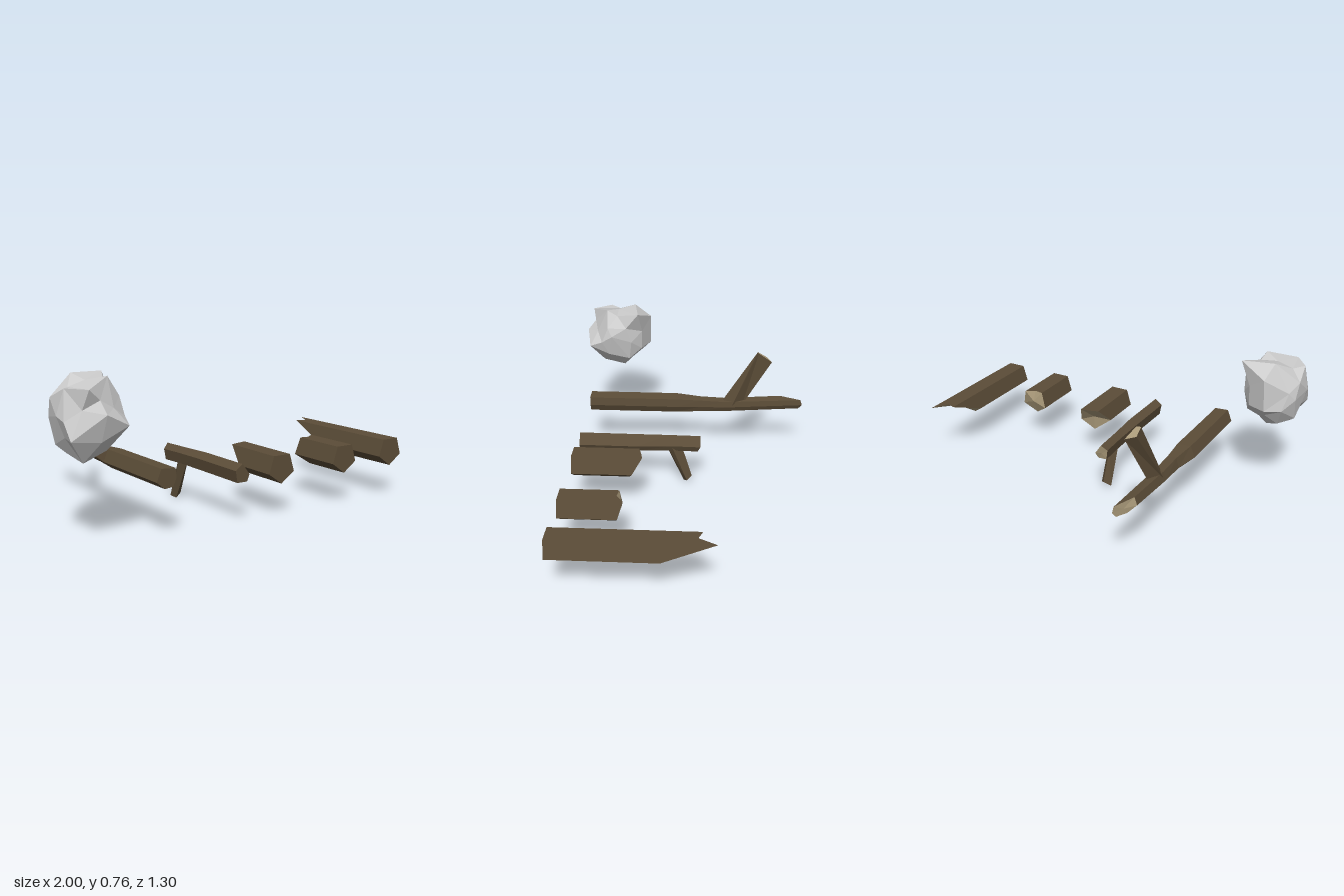
import * as THREE from 'three';

const material = (color) => new THREE.MeshStandardMaterial({ color, flatShading: true });

// Flat-shaded mesh from a list of corner points, three per triangle
function facets(name, points, mat) {
  const geometry = new THREE.BufferGeometry();
  geometry.setAttribute('position', new THREE.Float32BufferAttribute(points.flat(), 3));
  geometry.computeVertexNormals();
  const mesh = new THREE.Mesh(geometry, mat);
  mesh.name = name;
  return mesh;
}

const average = (ring) => [0, 1, 2].map((k) => ring.reduce((s, p) => s + p[k], 0) / ring.length);

// Skin a row of rings with bark, then close the far end with pale split wood
function timber(name, rings, bark, wood, core) {
  const skin = [], split = [];
  const first = rings[0], last = rings[rings.length - 1], n = first.length;
  const start = average(first), end = core || average(last);
  for (let i = 0; i < n; i++) {
    const j = (i + 1) % n;
    skin.push(start, first[i], first[j]);
    for (let r = 0; r + 1 < rings.length; r++) {
      const a = rings[r], b = rings[r + 1];
      skin.push(a[i], b[i], b[j], a[i], b[j], a[j]);
    }
    split.push(end, last[j], last[i]);
  }
  const group = new THREE.Group();
  group.name = name;
  group.add(facets(name + 'Bark', skin, bark), facets(name + 'BrokenEnd', split, wood));
  return group;
}

// Copy of a section outline, shifted and scaled, at one depth or a depth per corner
function section(outline, cx, cy, z, sx = 1, sy = 1) {
  return outline.map(([x, y], i) => [cx + x * sx, cy + y * sy, Array.isArray(z) ? z[i] : z]);
}

// Faceted boulder: a rough ball whose nearest corners are pulled to the main points
function boulder(mat) {
  const centre = new THREE.Vector3(-0.84, 0.58, 0.46);
  const peaks = [
    [-0.69, 0.76, 0.33], [-0.86, 0.765, 0.36], [-0.84, 0.70, 0.265], [-0.76, 0.76, 0.52],
    [-0.97, 0.72, 0.52], [-0.90, 0.72, 0.62], [-1.0, 0.60, 0.50], [-0.98, 0.50, 0.60],
    [-0.83, 0.61, 0.65], [-0.71, 0.55, 0.625], [-0.68, 0.62, 0.49], [-0.72, 0.47, 0.39],
    [-0.82, 0.39, 0.43], [-0.90, 0.39, 0.55], [-0.97, 0.46, 0.42], [-0.85, 0.53, 0.27],
    [-0.95, 0.62, 0.35],
  ].map((p) => new THREE.Vector3(...p));
  let seed = 7;
  const random = () => (seed = (seed * 16807) % 2147483647) / 2147483647;
  const geometry = new THREE.IcosahedronGeometry(1, 1);
  const position = geometry.attributes.position;
  const corners = new Map();
  const v = new THREE.Vector3();
  const key = () => v.toArray().map((c) => Math.round(c * 1000) + 0).join();
  for (let i = 0; i < position.count; i++) {
    v.fromBufferAttribute(position, i);
    if (!corners.has(key())) {
      const r = 0.15 + 0.035 * random();
      corners.set(key(), { dir: v.clone(), at: v.clone().multiplyScalar(r).add(centre), used: false });
    }
  }
  for (const peak of peaks) {
    const dir = peak.clone().sub(centre).normalize();
    let best = null;
    for (const c of corners.values()) {
      if (!c.used && (!best || c.dir.dot(dir) > best.dir.dot(dir))) best = c;
    }
    best.at.copy(peak);
    best.used = true;
  }
  for (let i = 0; i < position.count; i++) {
    v.fromBufferAttribute(position, i);
    const p = corners.get(key()).at;
    position.setXYZ(i, p.x, p.y, p.z);
  }
  geometry.computeVertexNormals();
  const mesh = new THREE.Mesh(geometry, mat);
  mesh.name = 'boulder';
  return mesh;
}

export function createModel() {
  const model = new THREE.Group();
  const bark = material(0x5c4d38), wood = material(0xa89878), stone = material(0xcccccc);

  model.add(boulder(stone));

  // Three five-sided logs; depth of each broken corner, then of the core
  const log = [[0.05, 0.31], [0, 0.31], [-0.05, 0.31], [-0.078, 0.22], [0, 0.165], [0.078, 0.22]];
  const logs = [
    ['shortLog', 0.165, [0.225, 0.235, 0.25, 0.35, 0.30, 0.28], 0.29],
    ['middleLog', 0.585, [0.28, 0.312, 0.305, 0.295, 0.33, 0.305], 0.29],
    ['longLog', 0.918, [-0.19, -0.10, -0.12, 0.10, 0.145, 0.07], 0.05],
  ];
  for (const [name, x, depths, core] of logs) {
    const rings = [section(log, x, 0, 0.6), section(log, x, 0, depths)];
    model.add(timber(name, rings, bark, wood, [x, 0.25, core]));
  }

  // Long branch with a slanted split tip
  const long = [[0.048, 0.042], [-0.028, 0.047], [-0.053, -0.015], [-0.01, -0.05], [0.035, -0.045], [0.053, -0.005]];
  model.add(timber('longBranch', [
    section(long, -0.507, 0.283, 0.6),
    section(long, -0.507, 0.283, 0.09),
    section(long, -0.5, 0.281, -0.05, 0.66, 0.85),
    section(long, -0.5, 0.28, -0.2, 0.66, 0.72),
    section(long, -0.506, 0.303, [-0.64, -0.52, -0.52, -0.57, -0.63, -0.65], 0.6, 0.66),
  ], bark, wood));

  // Rising fork of the long branch
  model.add(timber('longBranchFork', [
    [[-0.465, 0.29, -0.24], [-0.495, 0.29, -0.17], [-0.53, 0.29, -0.22], [-0.49, 0.29, -0.30]],
    [[-0.455, 0.63, -0.385], [-0.478, 0.63, -0.38], [-0.48, 0.60, -0.43], [-0.432, 0.588, -0.46]],
    [[-0.432, 0.612, -0.43], [-0.46, 0.632, -0.39], [-0.478, 0.625, -0.41], [-0.44, 0.59, -0.455]],
  ].slice(0, 2), bark, wood));

  // Short branch, slightly bent
  const short = [[0.0, 0.047], [-0.04, 0.017], [-0.03, -0.043], [0.028, -0.043], [0.043, -0.008]];
  model.add(timber('shortBranch', [
    section(short, -0.078, 0.248, 0.6),
    section(short, -0.075, 0.248, 0.28),
    section(short, -0.082, 0.246, 0.1, 0.8, 0.95),
    section(short, -0.085, 0.242, [-0.07, -0.055, -0.05, -0.055, -0.07], 0.8, 0.95),
  ], bark, wood));

  // Stub under the short branch
  model.add(timber('shortBranchStub', [
    [[-0.052, 0.225, 0.085], [-0.08, 0.225, 0.035], [-0.108, 0.225, 0.085], [-0.08, 0.225, 0.12]],
    [[-0.05, 0.02, 0.005], [-0.075, 0.037, -0.022], [-0.112, 0.012, 0.0], [-0.09, 0.0, 0.025]],
  ], bark, wood));

  return model;
}
